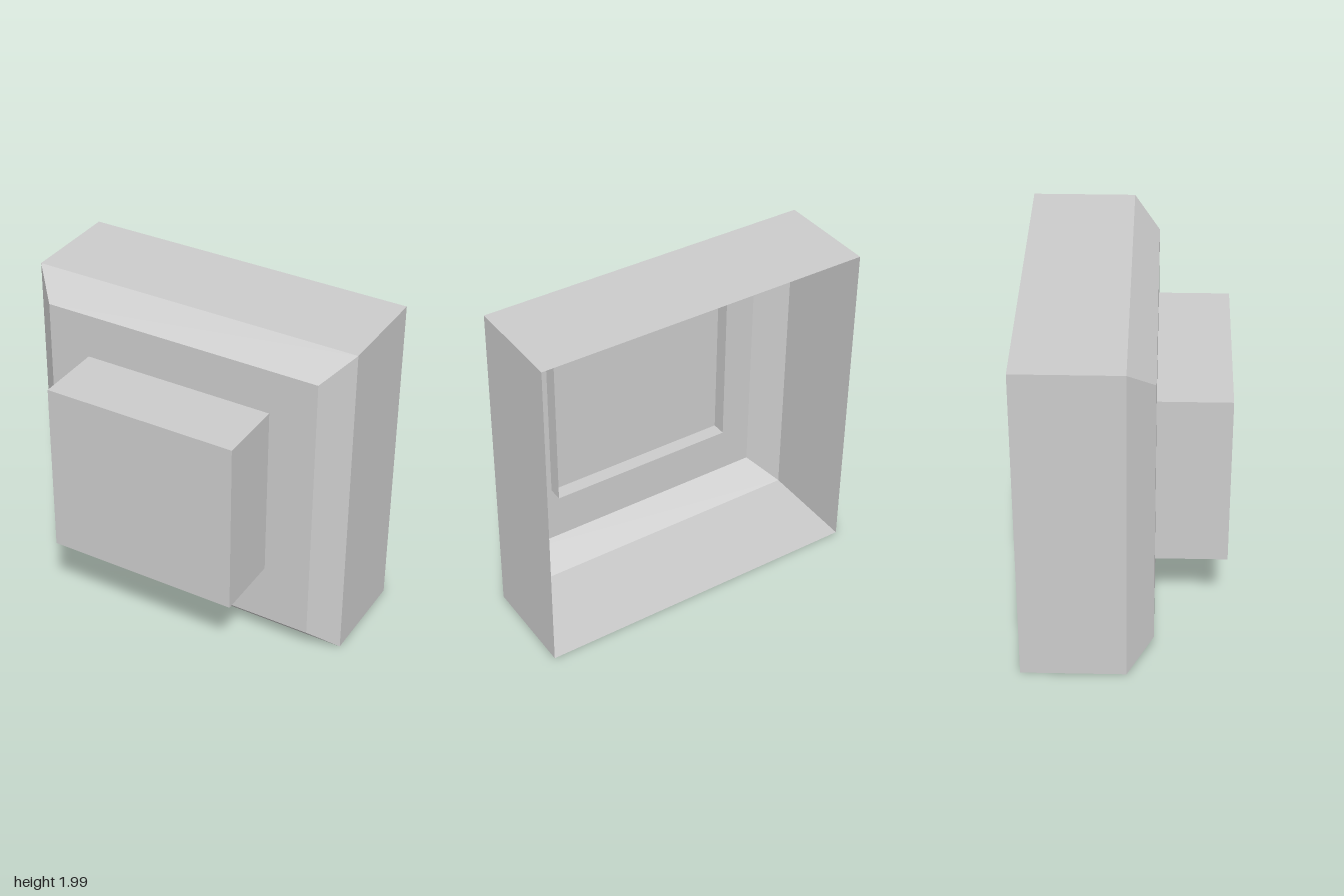
import * as THREE from 'three';

const material = new THREE.MeshStandardMaterial({
  color: 0xcccccc, flatShading: true, side: THREE.DoubleSide,
});

// Rectangular ring, counter-clockwise as seen from +z
function ring(x0, x1, y0, y1, z) {
  return [[x0, y0, z], [x1, y0, z], [x1, y1, z], [x0, y1, z]];
}

// Thin shell through rings from back to front: open back, closed front
function openBackShell(name, rings) {
  const pos = [];
  const quad = (a, b, c, d) => [a, b, c, a, c, d].forEach((p) => pos.push(...p));
  for (let r = 0; r < rings.length - 1; r++) {
    const a = rings[r], b = rings[r + 1];
    for (let i = 0; i < 4; i++) {
      const j = (i + 1) % 4;
      quad(a[i], a[j], b[j], b[i]);
    }
  }
  quad(...rings[rings.length - 1]);
  const geometry = new THREE.BufferGeometry();
  geometry.setAttribute('position', new THREE.Float32BufferAttribute(pos, 3));
  geometry.computeVertexNormals();
  const mesh = new THREE.Mesh(geometry, material);
  mesh.name = name;
  return mesh;
}

export function createModel() {
  const group = new THREE.Group();
  group.name = 'model';

  // Main housing: straight walls, 45 degree bevel, flat front
  group.add(openBackShell('housing', [
    ring(-1, 1, 0, 1.99, -0.58),
    ring(-1, 1, 0, 1.99, 0.02),
    ring(-0.85, 0.85, 0.15, 1.84, 0.17),
  ]));

  // Front block: its open walls pass through the housing front
  group.add(openBackShell('frontBlock', [
    ring(-0.595, 0.567, 0.513, 1.573, 0.083),
    ring(-0.595, 0.567, 0.513, 1.573, 0.58),
  ]));

  return group;
}
